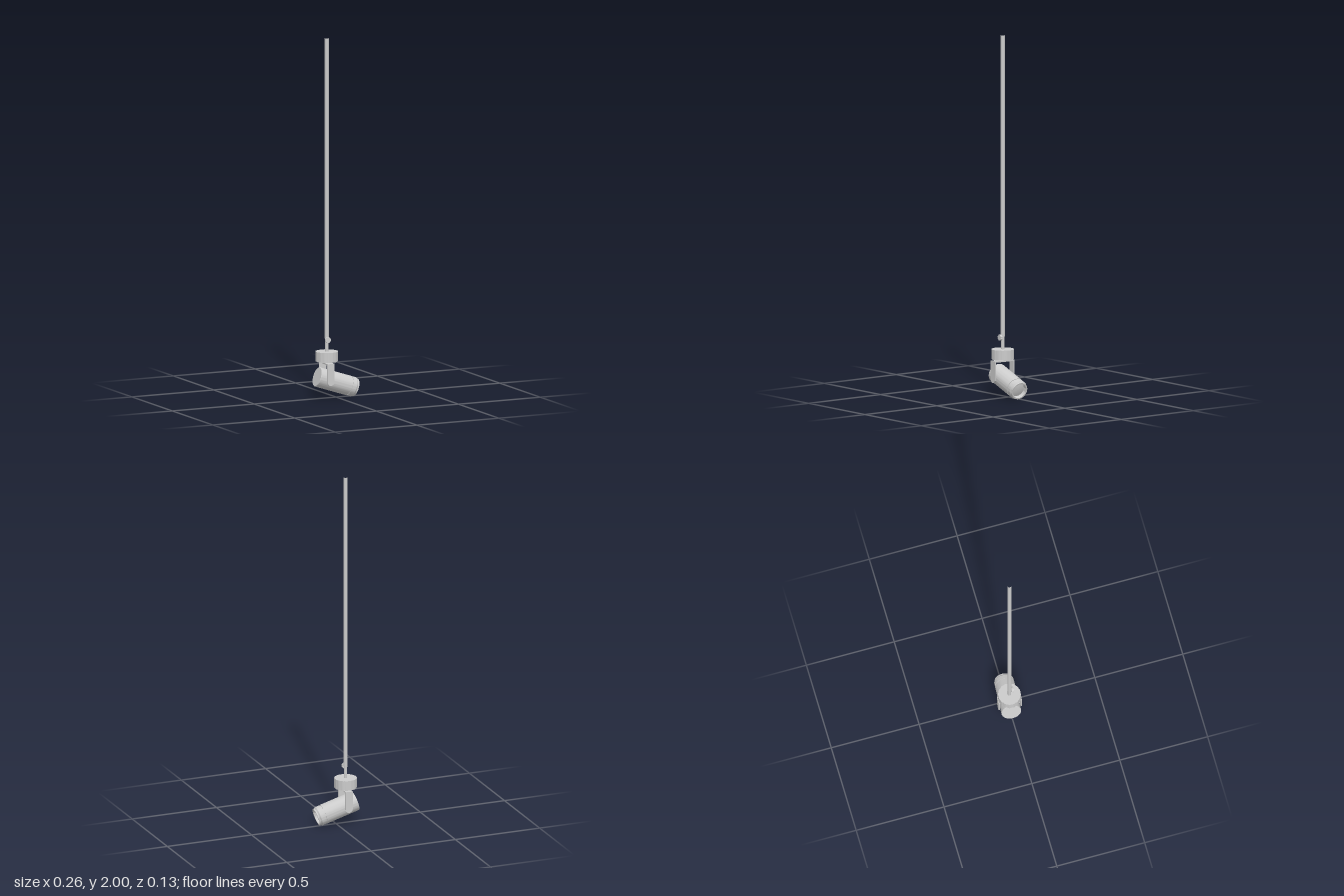
import * as THREE from 'three';
import { toCreasedNormals } from 'three/addons/utils/BufferGeometryUtils.js';

const TILT = THREE.MathUtils.degToRad(18);
const PIVOT_Y = 0.103;

export function createModel() {
  const material = new THREE.MeshStandardMaterial({ color: 0xcccccc });
  const model = new THREE.Group();

  const add = (parent, name, geometry, x = 0, y = 0, z = 0) => {
    const mesh = new THREE.Mesh(geometry, material);
    mesh.name = name;
    mesh.position.set(x, y, z);
    parent.add(mesh);
    return mesh;
  };

  // Round grip with shallow notches around the rim, extruded along +z
  const grip = (radius, notch, lobes, depth) => {
    const points = [];
    const steps = lobes * 8;
    for (let i = 0; i < steps; i++) {
      const a = (i / steps) * Math.PI * 2;
      const r = radius - notch * Math.pow(Math.abs(Math.cos((a * lobes) / 2)), 4);
      points.push(new THREE.Vector2(r * Math.cos(a), r * Math.sin(a)));
    }
    const geometry = new THREE.ExtrudeGeometry(new THREE.Shape(points), { depth, bevelEnabled: false });
    return toCreasedNormals(geometry, 0.5);
  };

  // Everything hangs on the pole axis and is turned slightly about it
  const lamp = new THREE.Group();
  lamp.name = 'lamp';
  lamp.position.set(-0.056, 0, -0.002);
  lamp.rotation.y = -0.08;
  model.add(lamp);

  // Pole, open at the ends, with a thinner stem at its foot
  add(lamp, 'pole', new THREE.CylinderGeometry(0.0115, 0.0115, 1.67, 24, 1, true), 0, 1.165, 0);
  add(lamp, 'stem', new THREE.CylinderGeometry(0.0095, 0.0095, 0.14, 24, 1, true), 0, 0.27, 0);

  // Clamp screw at the foot of the pole
  add(lamp, 'clampKnob', grip(0.0165, 0.002, 8, 0.012), 0, 0.325, 0.011);

  // Notched mounting collar and its neck
  const collar = add(lamp, 'collar', grip(0.0625, 0.002, 16, 0.055), 0, 0.205, 0);
  collar.rotation.x = -Math.PI / 2;
  add(lamp, 'neck', new THREE.CylinderGeometry(0.012, 0.012, 0.02, 24), 0, 0.2, 0);

  // Yoke: bridge plate and two arms with rounded lower ends
  const yoke = new THREE.Group();
  yoke.name = 'yoke';
  lamp.add(yoke);
  add(yoke, 'yokeBridge', new THREE.BoxGeometry(0.042, 0.007, 0.13), 0, 0.195, 0);
  const armShape = new THREE.Shape();
  armShape.moveTo(0.021, 0.1985);
  armShape.lineTo(-0.021, 0.1985);
  armShape.lineTo(-0.021, 0.098);
  armShape.absarc(0, 0.098, 0.021, Math.PI, Math.PI * 2, false);
  armShape.closePath();
  const armGeometry = toCreasedNormals(
    new THREE.ExtrudeGeometry(armShape, { depth: 0.007, bevelEnabled: false, curveSegments: 16 }), 0.5);
  for (const [name, z] of [['frontYokeArm', 0.058], ['backYokeArm', -0.065]]) {
    add(yoke, name, armGeometry, 0, 0, z);
  }

  // Hinge pin through both arms and the housing
  const pin = add(yoke, 'hingePin', new THREE.CylinderGeometry(0.008, 0.008, 0.126, 16), 0, PIVOT_Y, 0);
  pin.rotation.x = Math.PI / 2;

  // Housing: flat back, grooved front ring, chamfered lip and recessed mouth
  const profile = [
    [0, -0.06], [0.053, -0.06], [0.055, -0.057], [0.055, 0.133],
    [0.052, 0.133], [0.052, 0.137], [0.0545, 0.137], [0.0545, 0.162],
    [0.049, 0.169], [0.049, 0.177], [0.042, 0.177], [0.040, 0.155],
  ].map(([r, s]) => new THREE.Vector2(r, s));
  const head = new THREE.Group();
  head.name = 'spotlightHead';
  head.position.y = PIVOT_Y;
  head.rotation.z = -Math.PI / 2 - TILT;
  lamp.add(head);
  add(head, 'housing', toCreasedNormals(new THREE.LatheGeometry(profile, 64), 0.5));

  // Slightly domed lens inside the mouth
  const lens = [[0.041, 0.155], [0.028, 0.158], [0.014, 0.16], [0, 0.1605]]
    .map(([r, s]) => new THREE.Vector2(r, s));
  add(head, 'lens', new THREE.LatheGeometry(lens, 48));

  return model;
}
